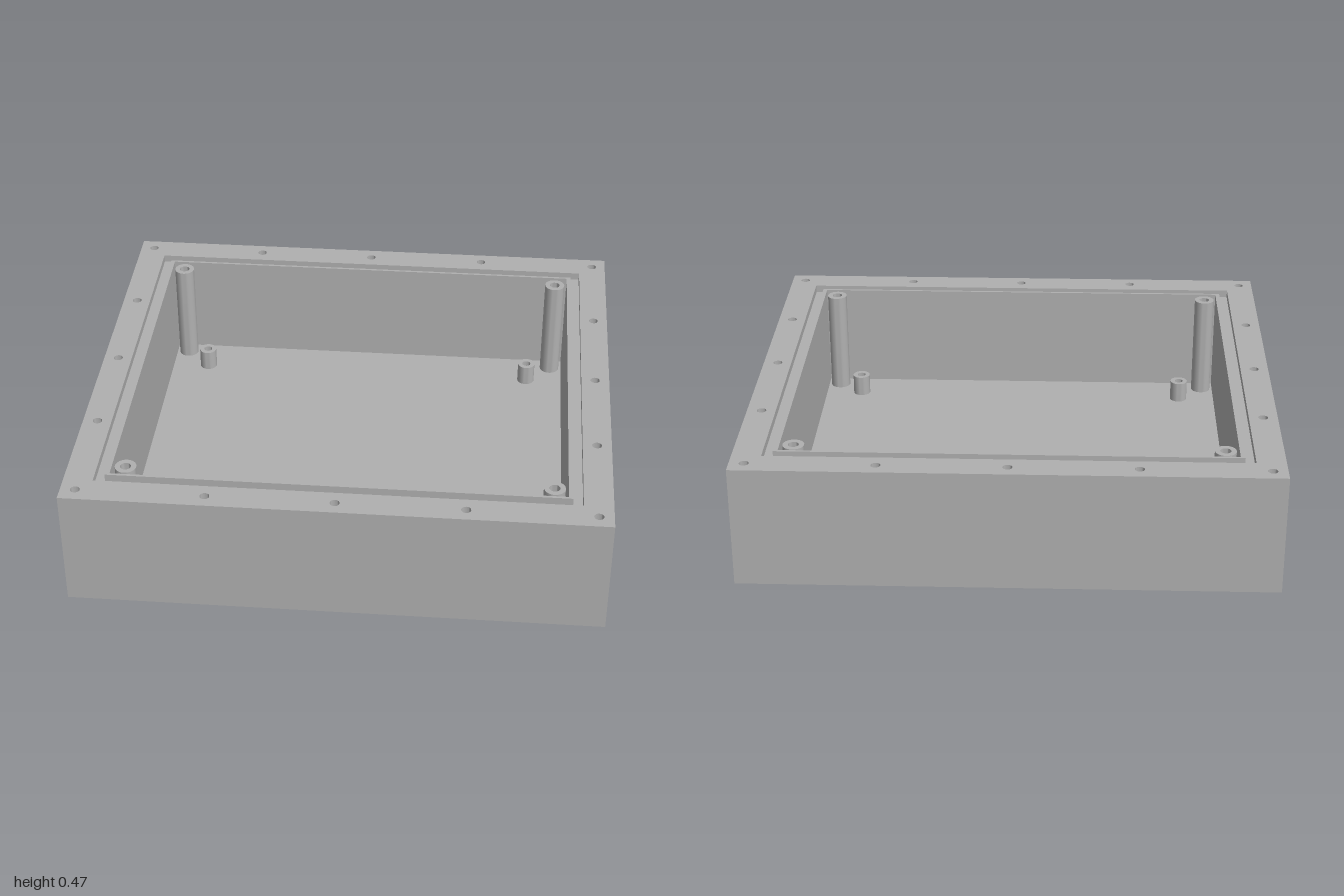
import * as THREE from 'three';
import { toCreasedNormals } from 'three/addons/utils/BufferGeometryUtils.js';

const TOP = 0.47, FLOOR = 0.047;
const OUTER = [1, 0.912], GROOVE = [0.891, 0.798], LIP = [0.855, 0.761], CAVITY = [0.838, 0.751];

// Flat-sided skin through rectangles [halfX, halfZ, y], listed from outside inwards
function rectangleSkin(levels) {
  const pos = [];
  const corners = ([hx, hz, y]) => [[-hx, y, hz], [hx, y, hz], [hx, y, -hz], [-hx, y, -hz]];
  for (let i = 0; i < levels.length - 1; i++) {
    const a = corners(levels[i]), b = corners(levels[i + 1]);
    for (let k = 0; k < 4; k++) {
      const n = (k + 1) % 4;
      if (levels[i][0] > 0) pos.push(...a[k], ...a[n], ...b[n]);
      if (levels[i + 1][0] > 0) pos.push(...a[k], ...b[n], ...b[k]);
    }
  }
  const g = new THREE.BufferGeometry();
  g.setAttribute('position', new THREE.Float32BufferAttribute(pos, 3));
  g.computeVertexNormals();
  return g;
}

// Turned part with sharp edges
function turned(points, segments = 32) {
  const profile = points.map(([r, y]) => new THREE.Vector2(r, y));
  return toCreasedNormals(new THREE.LatheGeometry(profile, segments), 0.6);
}

function rectanglePath(path, [hx, hz]) {
  path.moveTo(-hx, -hz);
  path.lineTo(hx, -hz);
  path.lineTo(hx, hz);
  path.lineTo(-hx, hz);
  path.closePath();
  return path;
}

export function createModel() {
  const model = new THREE.Group();
  const grey = new THREE.MeshStandardMaterial({ color: 0xb0b0b0 });
  grey.name = 'plain grey';
  const add = (name, geometry, x = 0, y = 0, z = 0) => {
    const mesh = new THREE.Mesh(geometry, grey);
    mesh.name = name;
    mesh.position.set(x, y, z);
    model.add(mesh);
  };

  // Underside and outer walls
  add('outerShell', rectangleSkin([[0, 0, 0], [...OUTER, 0], [...OUTER, TOP]]));

  // Seal groove, thin lip, inner walls and floor
  add('innerShell', rectangleSkin([
    [...GROOVE, TOP], [...GROOVE, TOP - 0.03], [...LIP, TOP - 0.03], [...LIP, TOP],
    [...CAVITY, TOP], [...CAVITY, FLOOR], [0, 0, FLOOR],
  ]));

  // Screw hole positions around the rim
  const holes = [];
  for (const side of [-1, 1]) {
    for (const x of [-0.945, -0.472, 0, 0.472, 0.945]) holes.push([x, side * 0.857]);
    for (const z of [-0.43, 0, 0.43]) holes.push([side * 0.945, z]);
  }

  // Flat rim pierced by the screw holes
  const holeRadius = 0.018;
  const rim = rectanglePath(new THREE.Shape(), OUTER);
  rim.holes.push(rectanglePath(new THREE.Path(), GROOVE));
  for (const [x, z] of holes) {
    rim.holes.push(new THREE.Path().absarc(x, -z, holeRadius, 0, Math.PI * 2, true));
  }
  add('rim', new THREE.ShapeGeometry(rim, 12).rotateX(-Math.PI / 2), 0, TOP, 0);

  // Blind bores below the rim
  const bore = turned([[holeRadius, 0], [holeRadius, -0.12], [0, -0.12]], 24);
  for (const [x, z] of holes) add('screwHole', bore, x, TOP, z);

  // Hollow posts: tall ones in the corners, short ones further in
  const post = (radius, inner, top, depth) => turned([
    [radius, FLOOR], [radius, top], [inner, top], [inner, top - depth], [0, top - depth],
  ]);
  const tall = post(0.04, 0.02, TOP - 0.003, 0.12);
  const short = post(0.035, 0.017, 0.13, 0.075);
  for (const sx of [-1, 1]) {
    for (const sz of [-1, 1]) {
      add('tallPost', tall, sx * 0.788, 0, sz * 0.7);
      // The front left short post sits slightly further forward
      add('shortPost', short, sx * 0.687, 0, sx > 0 && sz > 0 ? 0.62 : sz * 0.6);
    }
  }
  return model;
}
